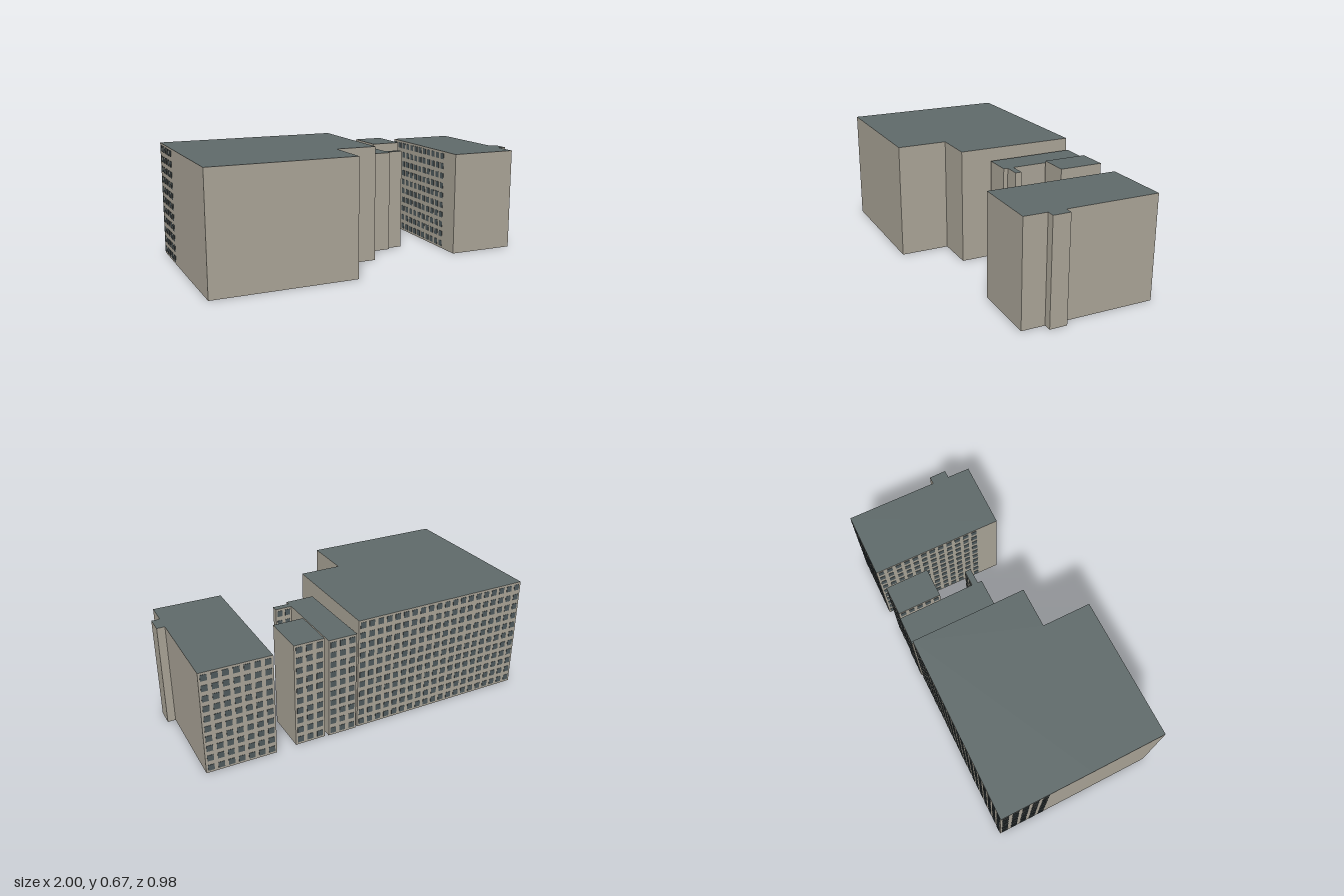
import * as THREE from 'three';
import { mergeGeometries } from 'three/addons/utils/BufferGeometryUtils.js';

const wallMat = new THREE.MeshStandardMaterial({ color: 0xaba598, side: THREE.DoubleSide });
wallMat.name = 'wall stone';
const roofMat = new THREE.MeshStandardMaterial({ color: 0x5f6a6a, side: THREE.DoubleSide });
roofMat.name = 'roof slate';
const glassMat = new THREE.MeshStandardMaterial({ color: 0x4f5a5d });
glassMat.name = 'window glass';

// Footprints are [x, z] corners; windows list [edge index, start fraction, end fraction, columns]
const buildings = [
  {
    name: 'mainBlock', height: 0.667, rows: 11,
    plan: [[-1, -0.482], [0.07, -0.482], [0.07, 0.2], [-0.17, 0.2], [-0.17, 0.487], [-0.995, 0.487], [-0.998, 0.05]],
    windows: [[0, 0, 1, 20], [6, 0.45, 1, 5]],
  },
  {
    name: 'narrowBlock', height: 0.597, rows: 10,
    plan: [[0.083, -0.487], [0.25, -0.485], [0.253, -0.033], [0.347, -0.033], [0.347, 0.003], [0.253, 0.003], [0.253, 0.028], [0.09, 0.028]],
    windows: [[0, 0, 1, 3], [2, 0, 1, 2]],
  },
  {
    name: 'smallBlock', height: 0.615, rows: 10,
    plan: [[0.272, -0.48], [0.447, -0.48], [0.447, -0.225], [0.272, -0.225]],
    windows: [[0, 0, 1, 3], [3, 0, 1, 5]],
  },
  {
    name: 'rightBlock', height: 0.6, rows: 10,
    plan: [[0.565, -0.492], [0.96, -0.487], [0.955, 0.05], [1, 0.05], [1, 0.15], [0.954, 0.15], [0.952, 0.283], [0.557, 0.277]],
    windows: [[0, 0, 1, 7], [7, 0.16, 1, 12]],
  },
];

// Puts a geometry centred at the origin onto the wall between a and b
function onWall(geo, a, b, t, y) {
  const dx = b[0] - a[0], dz = b[1] - a[1];
  geo.rotateY(-Math.atan2(dz, dx) + Math.PI);
  return geo.translate(a[0] + dx * t, y, a[1] + dz * t);
}

function makeBuilding({ name, height, rows, plan, windows }) {
  const group = new THREE.Group();
  group.name = name;
  const add = (part, geo, mat) => {
    const mesh = new THREE.Mesh(geo, mat);
    mesh.name = part;
    group.add(mesh);
  };
  const edge = (i) => [plan[i], plan[(i + 1) % plan.length]];
  const length = ([a, b]) => Math.hypot(b[0] - a[0], b[1] - a[1]);

  // Open shell of walls
  const panels = plan.map((_, i) => {
    const e = edge(i);
    return onWall(new THREE.PlaneGeometry(length(e), height), ...e, 0.5, height / 2);
  });
  add('walls', mergeGeometries(panels), wallMat);

  // Flat roof
  const shape = new THREE.Shape(plan.map(([x, z]) => new THREE.Vector2(x, -z)));
  add('roof', new THREE.ShapeGeometry(shape).rotateX(-Math.PI / 2).translate(0, height, 0), roofMat);

  // Window grids, showing on both faces of the wall
  const panes = [];
  for (const [i, t0, t1, cols] of windows) {
    const e = edge(i);
    const pitch = length(e) * (t1 - t0) / cols, floor = height / rows;
    for (let c = 0; c < cols; c++) {
      for (let r = 0; r < rows; r++) {
        const pane = new THREE.BoxGeometry(pitch * 0.62, floor * 0.58, 0.004);
        panes.push(onWall(pane, ...e, t0 + (t1 - t0) * (c + 0.5) / cols, (r + 0.5) * floor));
      }
    }
  }
  add('windows', mergeGeometries(panes), glassMat);
  return group;
}

export function createModel() {
  const model = new THREE.Group();
  model.name = 'cityBlock';
  for (const b of buildings) model.add(makeBuilding(b));
  return model;
}
